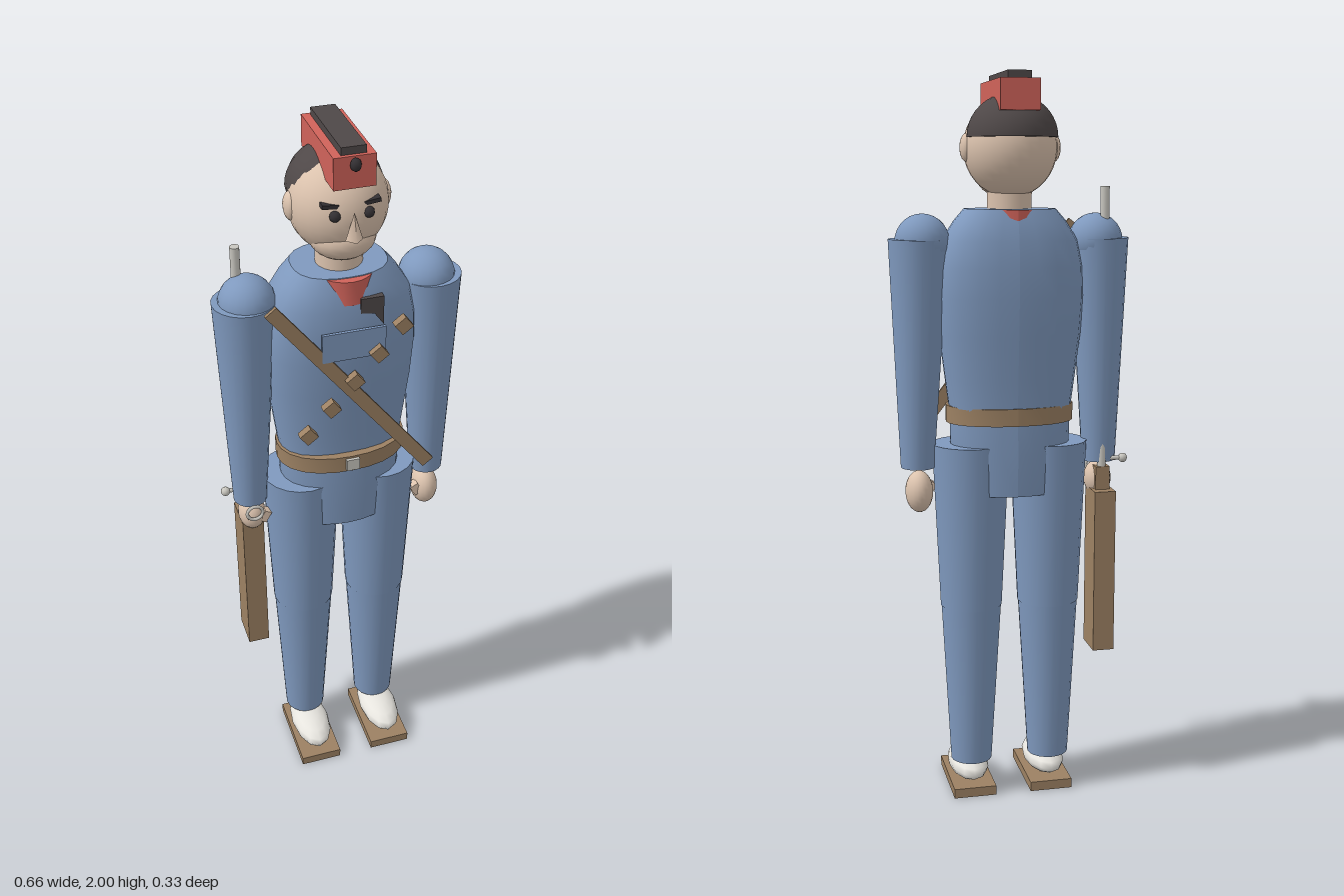
import * as THREE from 'three';

const paint = (name, color) => {
  const m = new THREE.MeshStandardMaterial({ color });
  m.name = name;
  return m;
};

export function createModel() {
  const blue = paint('uniform blue', 0x7f99be), red = paint('cap red', 0xd0635a);
  const brown = paint('leather brown', 0x9c8163), dark = paint('hair dark', 0x4f4848);
  const skin = paint('skin', 0xdcc3ae), white = paint('shoe white', 0xe6e4de);
  const silver = paint('metal', 0xc9c7c0), black = paint('black', 0x333033);
  const model = new THREE.Group();
  model.name = 'soldierFigure';

  const add = (name, geo, mat, x = 0, y = 0, z = 0) => {
    const m = new THREE.Mesh(geo, mat);
    m.name = name;
    m.position.set(x, y, z);
    model.add(m);
    return m;
  };
  const box = (name, mat, w, h, d, x, y, z) => add(name, new THREE.BoxGeometry(w, h, d), mat, x, y, z);
  const ball = (name, mat, rx, ry, rz, x, y, z, seg = 20) =>
    add(name, new THREE.SphereGeometry(1, seg, Math.max(8, seg * 0.7 | 0)).scale(rx, ry, rz), mat, x, y, z);

  // Tapered limb between two points, with round ends of given radii
  const limb = (name, mat, a, ra, b, rb, seg = 20) => {
    const p = new THREE.Vector3(...a), q = new THREE.Vector3(...b), d = q.clone().sub(p);
    const m = add(name, new THREE.CylinderGeometry(rb, ra, d.length(), seg), mat);
    m.position.copy(p).add(q).multiplyScalar(0.5);
    m.quaternion.setFromUnitVectors(new THREE.Vector3(0, 1, 0), d.normalize());
    return m;
  };

  // Closed loft through superellipse rings [y, rx, rz], bottom to top
  const loft = (name, mat, rings, power, z, seg = 24) => {
    const first = rings[0], last = rings[rings.length - 1];
    const rows = [[first[0], 0, 0], first, ...rings, last, [last[0], 0, 0]];
    const g = new THREE.LatheGeometry(rows.map(r => new THREE.Vector2(1, r[0])), seg, Math.PI);
    const pos = g.attributes.position;
    for (let i = 0; i < pos.count; i++) {
      const [y, rx, rz] = rows[i % rows.length];
      const s = pos.getX(i), c = pos.getZ(i);
      const k = Math.pow(Math.abs(s) ** power + Math.abs(c) ** power, -1 / power);
      pos.setXYZ(i, s * k * rx, y, c * k * rz);
    }
    g.computeVertexNormals();
    return add(name, g, mat, 0, 0, z);
  };

  // Trunk
  loft('torso', blue, [
    [1.10, 0.165, 0.105], [1.2, 0.178, 0.11], [1.32, 0.193, 0.12], [1.42, 0.2, 0.126],
    [1.5, 0.197, 0.127], [1.57, 0.182, 0.122], [1.62, 0.15, 0.11], [1.652, 0.122, 0.098],
  ], 2.5, -0.014);
  loft('pelvis', blue, [[0.885, 0.145, 0.108], [1.0, 0.165, 0.113], [1.1, 0.166, 0.108]], 2.2, -0.012);
  loft('belt', brown, [[1.08, 0.176, 0.12], [1.127, 0.176, 0.12]], 2.2, -0.006);
  box('beltBuckle', silver, 0.036, 0.034, 0.012, 0, 1.104, 0.116);
  loft('collar', red, [[1.585, 0.078, 0.116], [1.65, 0.088, 0.115]], 2, -0.008);
  add('neck', new THREE.CylinderGeometry(0.06, 0.06, 0.12, 20), skin, 0, 1.67, -0.01);

  // Chest plates, sash and pouches
  box('chestPocket', blue, 0.166, 0.08, 0.008, 0, 1.48, 0.118);
  const flap = new THREE.Shape([[0.02, 1.6], [0.02, 1.56], [0.055, 1.555], [0.08, 1.52], [0.08, 1.6]]
    .map(p => new THREE.Vector2(...p)));
  add('chestFlap', new THREE.ExtrudeGeometry(flap, { depth: 0.03, bevelEnabled: false }), dark, 0, 0, 0.08);
  box('sash', brown, 0.036, 0.69, 0.01, 0, 1.338, 0.117).rotation.z = Math.atan2(0.42, 0.54);
  for (let i = -2; i <= 2; i++) {
    box('pouch', brown, 0.036, 0.036, 0.022, i * 0.0625, 1.377 + i * 0.072, 0.127).rotation.z = 0.65;
  }

  // Head
  ball('head', skin, 0.125, 0.13, 0.125, 0, 1.81, -0.02, 28);
  ball('jaw', skin, 0.085, 0.06, 0.08, 0, 1.738, 0.018);
  const hair = new THREE.SphereGeometry(1, 20, 10, 0, Math.PI * 2, 0, Math.PI / 2);
  add('hair', hair.scale(0.121, 0.113, 0.122), dark, 0, 1.836, -0.045);
  const hairBase = new THREE.CircleGeometry(1, 20).rotateX(Math.PI / 2).scale(0.121, 1, 0.122);
  add('hairUnderside', hairBase, dark, 0, 1.836, -0.045);
  const nose = new THREE.ConeGeometry(0.022, 0.07, 4);
  add('nose', nose, skin, 0, 1.803, 0.113);
  for (const s of [-1, 1]) {
    ball('ear', skin, 0.018, 0.037, 0.029, s * 0.118, 1.81, -0.022, 14);
    ball('eye', black, 0.014, 0.014, 0.014, s * 0.042, 1.826, 0.095, 12);
    box('brow', black, 0.042, 0.01, 0.022, s * 0.052, 1.85, 0.083).rotation.z = s * 0.12;
  }

  // Cap
  box('cap', red, 0.104, 0.08, 0.262, 0, 1.941, -0.016);
  box('capTop', dark, 0.062, 0.02, 0.242, 0, 1.99, -0.016);
  ball('capButton', black, 0.014, 0.016, 0.014, 0, 1.962, 0.121, 8);

  // Arms and legs
  for (const s of [-1, 1]) {
    ball('shoulder', blue, 0.074, 0.074, 0.075, s * 0.237, 1.566, -0.016);
    limb('sleeve', blue, [s * 0.256, 0.957, -0.008], 0.046, [s * 0.247, 1.573, -0.014], 0.081);
    limb('lowerLeg', blue, [s * 0.112, 0.1, -0.012], 0.058, [s * 0.11, 0.56, -0.012], 0.084);
    limb('thigh', blue, [s * 0.11, 0.56, -0.012], 0.086, [s * 0.109, 1.02, -0.012], 0.107);
    ball('shoe', white, 0.057, 0.038, 0.115, s * 0.112, 0.063, 0.045, 12);
    box('sole', brown, 0.121, 0.027, 0.235, s * 0.111, 0.0135, 0.048);
  }

  // Hands
  ball('leftHand', skin, 0.038, 0.058, 0.05, 0.252, 0.888, -0.005);
  box('leftThumb', skin, 0.025, 0.035, 0.025, 0.22, 0.895, 0.015).rotation.z = 0.5;
  ball('rightHand', skin, 0.038, 0.05, 0.045, -0.253, 0.905, -0.01);
  box('rightThumb', skin, 0.02, 0.035, 0.025, -0.222, 0.905, 0.015).rotation.z = -0.5;

  // Rifle carried upright along the right arm
  box('rifleStock', brown, 0.06, 0.46, 0.1, -0.255, 0.65, -0.04);
  box('rifleGrip', brown, 0.04, 0.08, 0.06, -0.255, 0.905, -0.03);
  limb('rifleBarrel', silver, [-0.255, 0.88, -0.045], 0.0125, [-0.255, 1.71, -0.045], 0.0125, 12);
  limb('rifleBolt', silver, [-0.255, 0.965, -0.042], 0.006, [-0.315, 0.965, -0.042], 0.006, 8);
  ball('rifleBoltKnob', silver, 0.013, 0.013, 0.013, -0.317, 0.965, -0.042, 10);
  const guard = new THREE.TorusGeometry(0.022, 0.005, 6, 16);
  add('triggerGuard', guard, silver, -0.255, 0.935, 0.038);

  return model;
}
